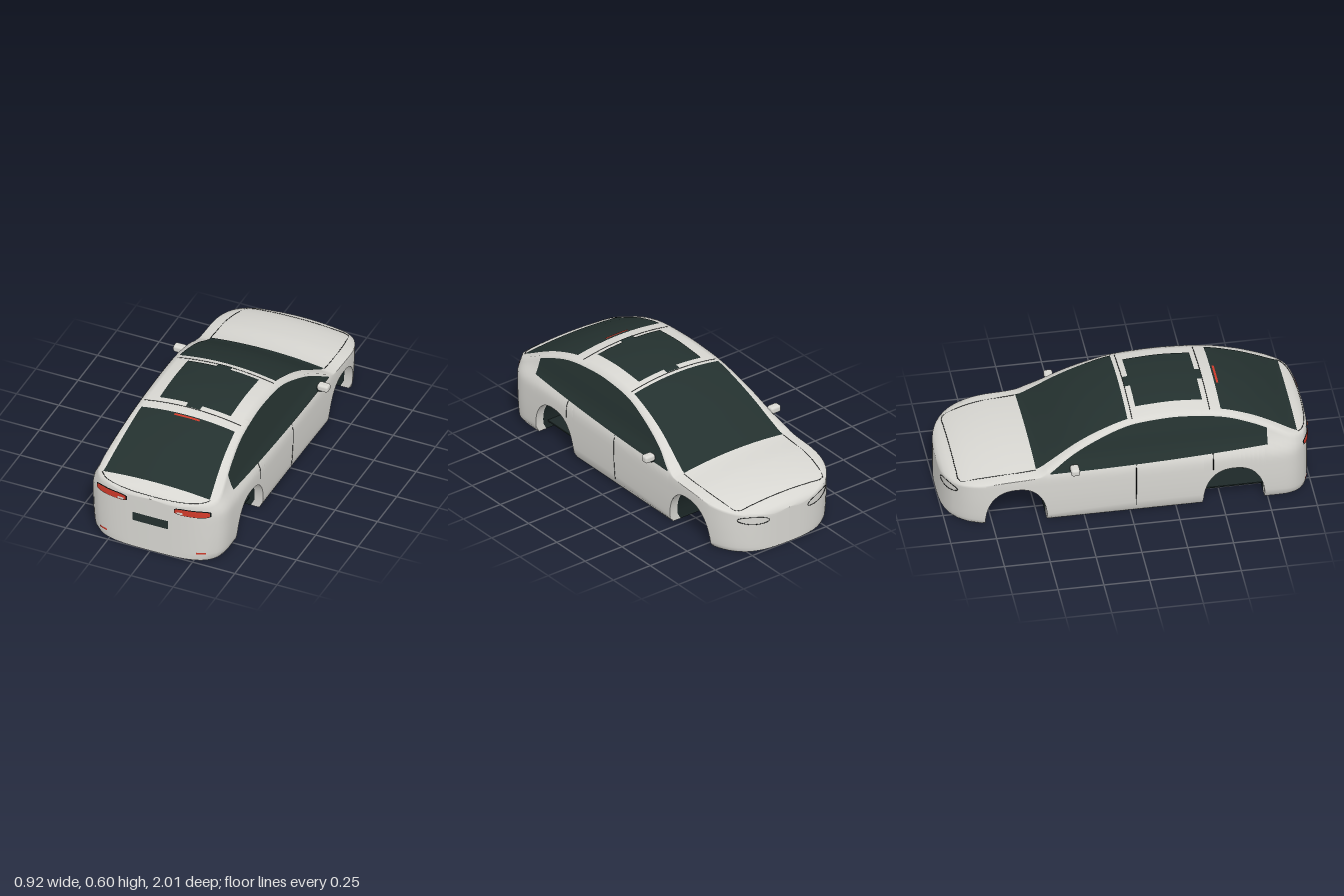
import * as THREE from 'three';
import { RoundedBoxGeometry } from 'three/addons/geometries/RoundedBoxGeometry.js';

const flat = (name, color) => new THREE.MeshStandardMaterial({ name, color, side: THREE.DoubleSide });

// Smooth interpolation through [position, value] pairs
function curve(pts) {
  const n = pts.length;
  const slope = i => {
    const a = pts[Math.max(i - 1, 0)], b = pts[Math.min(i + 1, n - 1)];
    return (b[1] - a[1]) / (b[0] - a[0]);
  };
  return p => {
    if (p <= pts[0][0]) return pts[0][1];
    if (p >= pts[n - 1][0]) return pts[n - 1][1];
    let i = 0;
    while (pts[i + 1][0] < p) i++;
    const [p0, v0] = pts[i], [p1, v1] = pts[i + 1], h = p1 - p0, t = (p - p0) / h;
    return (2 * t ** 3 - 3 * t * t + 1) * v0 + (t ** 3 - 2 * t * t + t) * h * slope(i)
      + (3 * t * t - 2 * t ** 3) * v1 + (t ** 3 - t * t) * h * slope(i + 1);
  };
}

// Centre line height, crown drop, and half width by height
const topY = curve([[-1, 0.215], [-0.985, 0.235], [-0.95, 0.257], [-0.85, 0.293], [-0.7, 0.319], [-0.5, 0.336],
  [-0.44, 0.368], [-0.29, 0.461], [-0.15, 0.527], [0, 0.577], [0.15, 0.594], [0.3, 0.596], [0.52, 0.57],
  [0.68, 0.518], [0.8, 0.461], [0.9, 0.404], [0.95, 0.385], [0.98, 0.367], [1, 0.342]]);
const crown = curve([[-1, 0.014], [-0.8, 0.03], [0.8, 0.03], [1, 0.012]]);
const widthAt = curve([[0, 0.368], [0.015, 0.384], [0.1, 0.395], [0.22, 0.4], [0.3, 0.398], [0.335, 0.385],
  [0.38, 0.362], [0.47, 0.333], [0.56, 0.302], [0.6, 0.287]]);

// Rounded plan at nose and tail
const NOSE = { sign: -1, start: 0.6, power: 0.35 }, TAIL = { sign: 1, start: 0.8, power: 0.3 };
function plan(z) {
  const e = z < 0 ? NOSE : TAIL;
  const t = Math.max(0, (Math.abs(z) - e.start) / (1 - e.start));
  return Math.pow(Math.max(0, 1 - t ** 3), e.power);
}
const sideX = (z, y) => widthAt(y) * plan(z);
const edgeY = z => topY(z) - crown(z);
const roofY = (z, x) => topY(z) - crown(z) * (x / Math.max(sideX(z, edgeY(z)), 0.001)) ** 2;
const endZ = (e, x, y) => e.sign * (e.start + (1 - e.start)
  * Math.cbrt(Math.max(0, 1 - Math.pow(Math.abs(x) / widthAt(y), 1 / e.power))));

// Wheel arches
const ARCHES = [-0.622, 0.565], HALF = 0.168;
const archY = d => 0.235 * Math.pow(Math.max(0, 1 - Math.abs(d / HALF) ** 2.4), 1 / 2.4);
const sillY = z => Math.max(...ARCHES.map(c => archY(z - c)));

// Grid surface from fn(u, v), u and v in 0..1
function patch(nu, nv, fn) {
  const pos = [], idx = [];
  for (let i = 0; i <= nu; i++) for (let j = 0; j <= nv; j++) {
    pos.push(...fn(i / nu, j / nv));
    if (i < nu && j < nv) {
      const a = i * (nv + 1) + j, b = a + nv + 1;
      idx.push(a, b, a + 1, b, b + 1, a + 1);
    }
  }
  const g = new THREE.BufferGeometry();
  g.setAttribute('position', new THREE.Float32BufferAttribute(pos, 3));
  g.setIndex(idx);
  g.computeVertexNormals();
  return g;
}
const mix = THREE.MathUtils.lerp;

export function createModel() {
  const car = new THREE.Group();
  car.name = 'carBody';
  const paint = flat('paint', 0xd8d7d2), glass = flat('darkGlass', 0x24312f), red = flat('lampRed', 0xcf3a2a);
  const under = flat('underbody', 0x1d2828), seam = flat('seam', 0x0c1010);
  const add = (name, geo, mat) => {
    const m = new THREE.Mesh(geo, mat);
    m.name = name;
    car.add(m);
    return m;
  };

  // Body shell, lofted along z with finer sections at the arches and ends
  const zs = [];
  for (let i = -38; i <= 38; i++) zs.push(i / 40);
  for (const c of ARCHES) for (let k = 0; k <= 28; k++) zs.push(c + HALF * Math.cos(k * Math.PI / 28));
  for (const z of [0.96, 0.97, 0.98, 0.987, 0.993, 0.997, 0.9992, 1]) zs.push(z, -z);
  zs.sort((a, b) => a - b);
  const st = zs.filter((z, i) => i === 0 || z - zs[i - 1] > 0.0004);
  const SIDE = 16, ROOF = 20, ALL = SIDE * 2 + ROOF;
  add('bodyShell', patch(st.length - 1, ALL, (u, v) => {
    const z = st[Math.round(u * (st.length - 1))], k = Math.round(v * ALL), e = edgeY(z);
    const s = k <= ALL / 2 ? -1 : 1, m = Math.min(k, ALL - k);
    if (m <= SIDE) {
      const y = mix(sillY(z), e, m / SIDE);
      return [s * sideX(z, y), y, z];
    }
    const x = s * sideX(z, e) * (1 - (m - SIDE) / (ROOF / 2));
    return [x, roofY(z, x), z];
  }), paint);

  // Arch lips and wheel tunnels
  for (const c of ARCHES) {
    const at = u => { const d = -HALF * Math.cos(u * Math.PI); return [c + d, archY(d)]; };
    for (const s of [-1, 1]) add('archLip', patch(28, 1, (u, v) => {
      const [z, y] = at(u);
      return [s * (sideX(z, y) - 0.05 * v), y, z];
    }), paint);
    add('wheelTunnel', patch(28, 1, (u, v) => {
      const [z, y] = at(u);
      return [(v * 2 - 1) * (sideX(z, y) - 0.05), y, z];
    }), under);
  }

  // Underside panels following the plan outline
  const floor = (name, z0, z1, y, k) => add(name, patch(40, 1, (u, v) => {
    const z = mix(z0, z1, Math.sin(u * Math.PI / 2));
    return [(v * 2 - 1) * sideX(z, y) * k, y, z];
  }), under);
  floor('middleFloor', ARCHES[0] + HALF, ARCHES[1] - HALF, 0.002, 1);
  floor('noseFloor', ARCHES[0] - HALF, -1, 0.002, 1);
  floor('tailFloor', ARCHES[1] + HALF, 0.995, 0.04, 0.97);
  const box = (name, w, h, d, x, y, z, mat) => add(name, new THREE.BoxGeometry(w, h, d), mat).position.set(x, y, z);
  box('rearFloorPlate', 0.62, 0.008, 0.36, 0, 0.048, 0.57, under);
  box('rearShelf', 0.5, 0.008, 0.09, 0, 0.113, 0.68, under);
  for (const [y, z, r] of [[0.18, 0.48, 0.028], [0.105, 0.425, 0.022]]) {
    const bar = add('crossBar', new THREE.CylinderGeometry(r, r, 0.6, 12), under);
    bar.rotation.z = Math.PI / 2;
    bar.position.set(0, y, z);
  }

  // Panels laid over the roof surface
  const roofPanel = (name, z0, z1, width, mat, lift = 0.004) => add(name, patch(24, 20, (u, v) => {
    const z = mix(z0, z1, u), x = (v * 2 - 1) * width(z);
    return [x, roofY(z, x) + lift, z];
  }), mat);
  roofPanel('windscreen', -0.508, 0, curve([[-0.51, 0.335], [-0.25, 0.302], [0, 0.284]]), glass);
  roofPanel('rearWindow', 0.51, 0.92, curve([[0.51, 0.276], [0.7, 0.29], [0.92, 0.315]]), glass);
  roofPanel('sunroof', 0.055, 0.42, () => 0.21, glass);
  roofPanel('sunroofFrontTab', 0.025, 0.055, () => 0.042, glass);
  roofPanel('sunroofRearTab', 0.42, 0.45, () => 0.042, glass);
  roofPanel('highBrakeLight', 0.52, 0.532, () => 0.075, red, 0.007);

  // Side windows, mirrors and lamps on both sides
  const endPanel = (name, e, x0, x1, y0, y1, mat, lift, taper = 0) => add(name, patch(16, 4, (u, v) => {
    const half = (y1 - y0) / 2 * (1 - taper * Math.abs(2 * u - 1) ** 5);
    const x = mix(x0, x1, u), y = (y0 + y1) / 2 + half * (2 * v - 1);
    return [x, y, endZ(e, x, y) + e.sign * lift];
  }), mat);
  const line = (name, pts, closed = false) => add(name, new THREE.TubeGeometry(
    new THREE.CatmullRomCurve3(pts.map(p => new THREE.Vector3(...p)), closed), 48, 0.0018, 4, closed), seam);
  const steps = (n, fn) => Array.from({ length: n + 1 }, (_, i) => fn(i / n));

  for (const s of [-1, 1]) {
    add('sideWindow', patch(40, 10, (u, v) => {
      const z = mix(-0.44, 0.75, u);
      const y = mix(mix(0.317, 0.355, u ** 2), Math.min(0.553, edgeY(z) - 0.013), v);
      return [s * (sideX(z, y) + 0.004), y, z];
    }), glass);
    add('mirror', new RoundedBoxGeometry(0.066, 0.042, 0.048, 3, 0.014), paint).position.set(s * 0.426, 0.35, -0.31);
    box('mirrorStalk', 0.04, 0.016, 0.02, s * 0.395, 0.328, -0.31, under);
    endPanel('tailLampSurround', TAIL, s * 0.139, s * 0.339, 0.286, 0.33, seam, 0.002, 0.45);
    endPanel('tailLamp', TAIL, s * 0.144, s * 0.334, 0.29, 0.326, red, 0.005, 0.45);
    endPanel('reversingLamp', TAIL, s * 0.156, s * 0.192, 0.295, 0.308, paint, 0.008);
    endPanel('reflector', TAIL, s * 0.264, s * 0.314, 0.045, 0.056, red, 0.004);

    // Headlamp outline and door seams
    line('headlampSeam', steps(23, t => {
      const a = t * Math.PI * 2 * 23 / 24, x = s * (0.215 + 0.085 * Math.cos(a));
      const y = 0.192 + 0.022 * Math.sin(a) + 0.012 * Math.cos(a);
      return [x, y, endZ(NOSE, x, y)];
    }), true);
    line('doorSeam', steps(8, t => {
      const y = mix(0.045, 0.325, t);
      return [s * sideX(0.03, y), y, 0.03];
    }));
    line('rearDoorSeam', steps(6, t => {
      const y = mix(0.235, 0.34, t);
      return [s * sideX(0.45, y), y, 0.45];
    }));
  }
  endPanel('plateRecess', TAIL, -0.105, 0.105, 0.177, 0.23, glass, 0.004);

  // Roof, bonnet and boot seams
  for (const z of [0.025, 0.45]) line('roofSeam', steps(12, t => {
    const x = mix(-0.285, 0.285, t);
    return [x, roofY(z, x), z];
  }));
  const roofLine = (name, pts) => line(name, [...pts.map(([x, z]) => [-x, z]), ...pts.slice().reverse()]
    .map(([x, z]) => [x, roofY(z, x), z]));
  roofLine('bonnetSeam', [[0.337, -0.51], [0.337, -0.6], [0.333, -0.72], [0.318, -0.83], [0.29, -0.915], [0.2, -0.922], [0.08, -0.922]]);
  roofLine('bootSeam', [[0.32, 0.92], [0.295, 0.945], [0.25, 0.965], [0.18, 0.98], [0.08, 0.988]]);
  return car;
}
